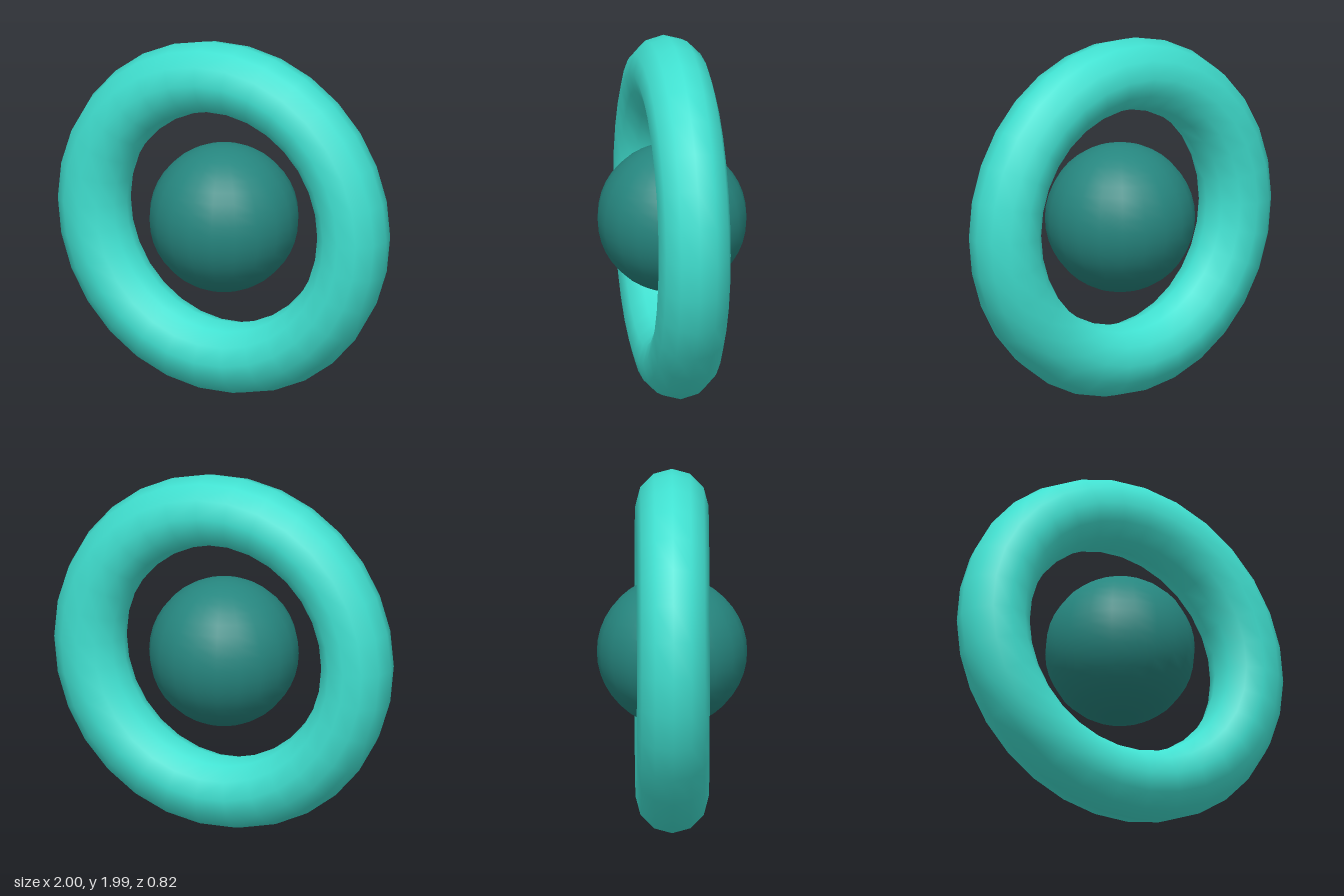
import * as THREE from 'three';

export function createModel() {
  const model = new THREE.Group();
  const turquoise = new THREE.MeshStandardMaterial({ color: 0x40e0d0 });
  turquoise.name = 'turquoise';
  const darkTeal = new THREE.MeshStandardMaterial({ color: 0x26867f });
  darkTeal.name = 'darkTeal';

  // Upright ring facing the front
  const ring = new THREE.Mesh(new THREE.TorusGeometry(0.8, 0.2, 12, 30), turquoise);
  ring.name = 'ring';

  // Ball floating in the middle of the ring
  const ball = new THREE.Mesh(new THREE.SphereGeometry(0.412, 20, 20), darkTeal);
  ball.name = 'ball';

  for (const part of [ring, ball]) {
    part.position.y = 1;
    model.add(part);
  }
  return model;
}
